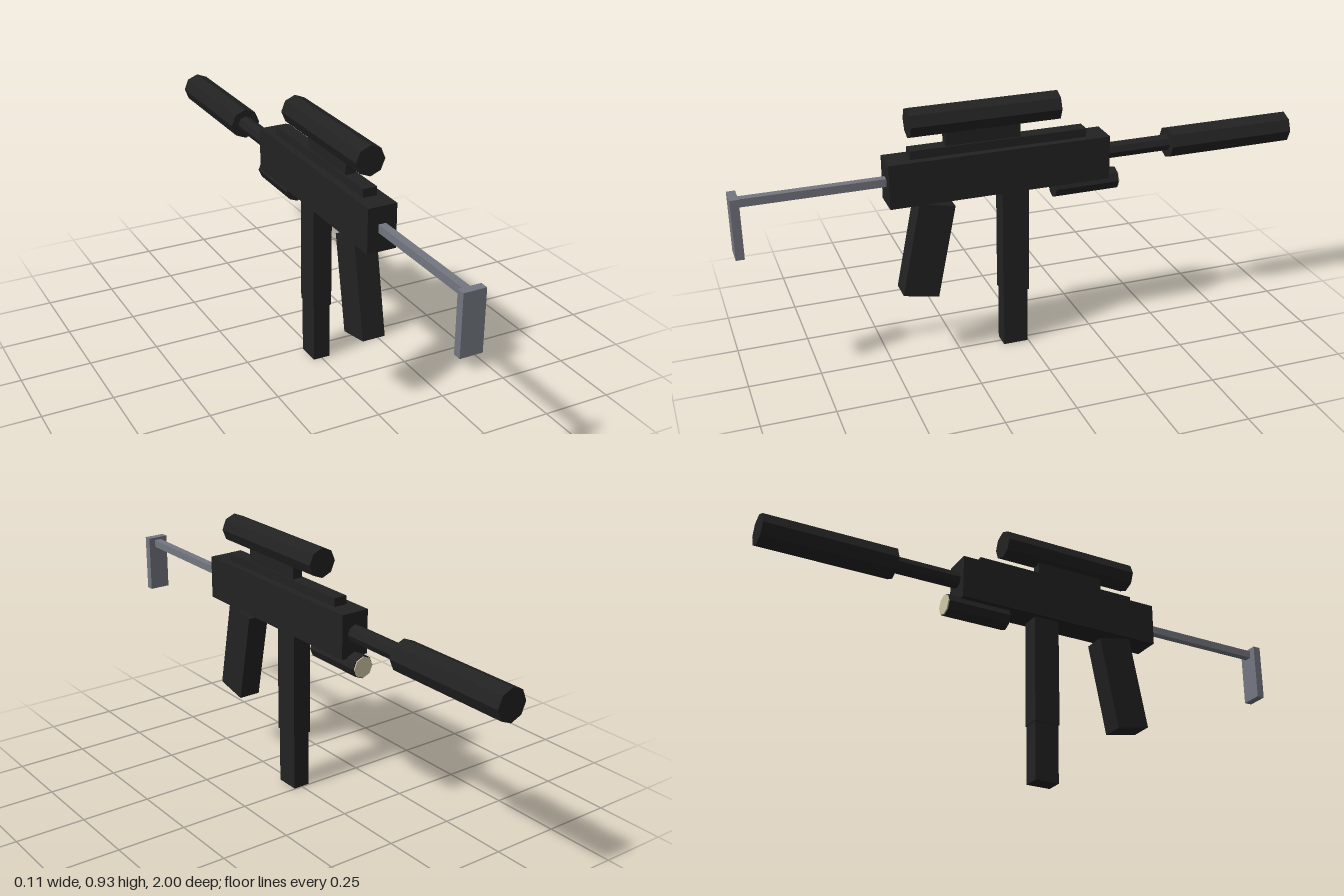
import * as THREE from 'three';

export function createModel() {
  const model = new THREE.Group();
  const mat = (name, color) => {
    const m = new THREE.MeshStandardMaterial({ color, flatShading: true });
    m.name = name;
    return m;
  };
  const black = mat('matte black', 0x222222);
  const steel = mat('grey steel', 0x737780);
  const cream = mat('cream lens', 0xd2c8a8);

  const add = (name, geometry, material, y, z) => {
    const mesh = new THREE.Mesh(geometry, material);
    mesh.name = name;
    mesh.position.set(0, y, z);
    model.add(mesh);
    return mesh;
  };
  // Box spanning y0..y1 and z0..z1, centred on x
  const box = (name, material, width, y0, y1, z0, z1) =>
    add(name, new THREE.BoxGeometry(width, y1 - y0, z1 - z0), material, (y0 + y1) / 2, (z0 + z1) / 2);
  // Eight-sided tube lying along z
  const tube = (name, material, radius, y, z0, z1) =>
    add(name, new THREE.CylinderGeometry(radius, radius, z1 - z0, 8).rotateX(Math.PI / 2), material, y, (z0 + z1) / 2);

  // Body and sight
  box('receiver', black, 0.104, 0.602, 0.757, -0.29, 0.49);
  box('topRail', black, 0.05, 0.757, 0.787, -0.212, 0.41);
  box('scopeMount', black, 0.038, 0.787, 0.85, 0.025, 0.286);
  tube('scope', black, 0.052, 0.877, -0.113, 0.41);

  // Barrel
  tube('barrel', black, 0.03, 0.685, -0.54, -0.28);
  tube('muzzleTube', black, 0.056, 0.685, -1, -0.53);

  // Under-barrel lamp
  tube('lamp', black, 0.04, 0.58, -0.333, -0.1);
  tube('lampLens', cream, 0.037, 0.58, -0.337, -0.332);

  // Magazine in two steps
  box('magazineUpper', black, 0.07, 0.21, 0.605, 0, 0.095);
  box('magazineLower', black, 0.062, 0, 0.212, 0.003, 0.092);

  // Slanted grip
  const grip = add('grip', new THREE.BoxGeometry(0.082, 0.34, 0.127), black, 0.423, 0.36);
  grip.rotation.x = -0.2;

  // Stock
  box('stockRod', steel, 0.027, 0.669, 0.697, 0.48, 0.975);
  box('buttPlate', steel, 0.078, 0.497, 0.707, 0.971, 1);

  return model;
}
